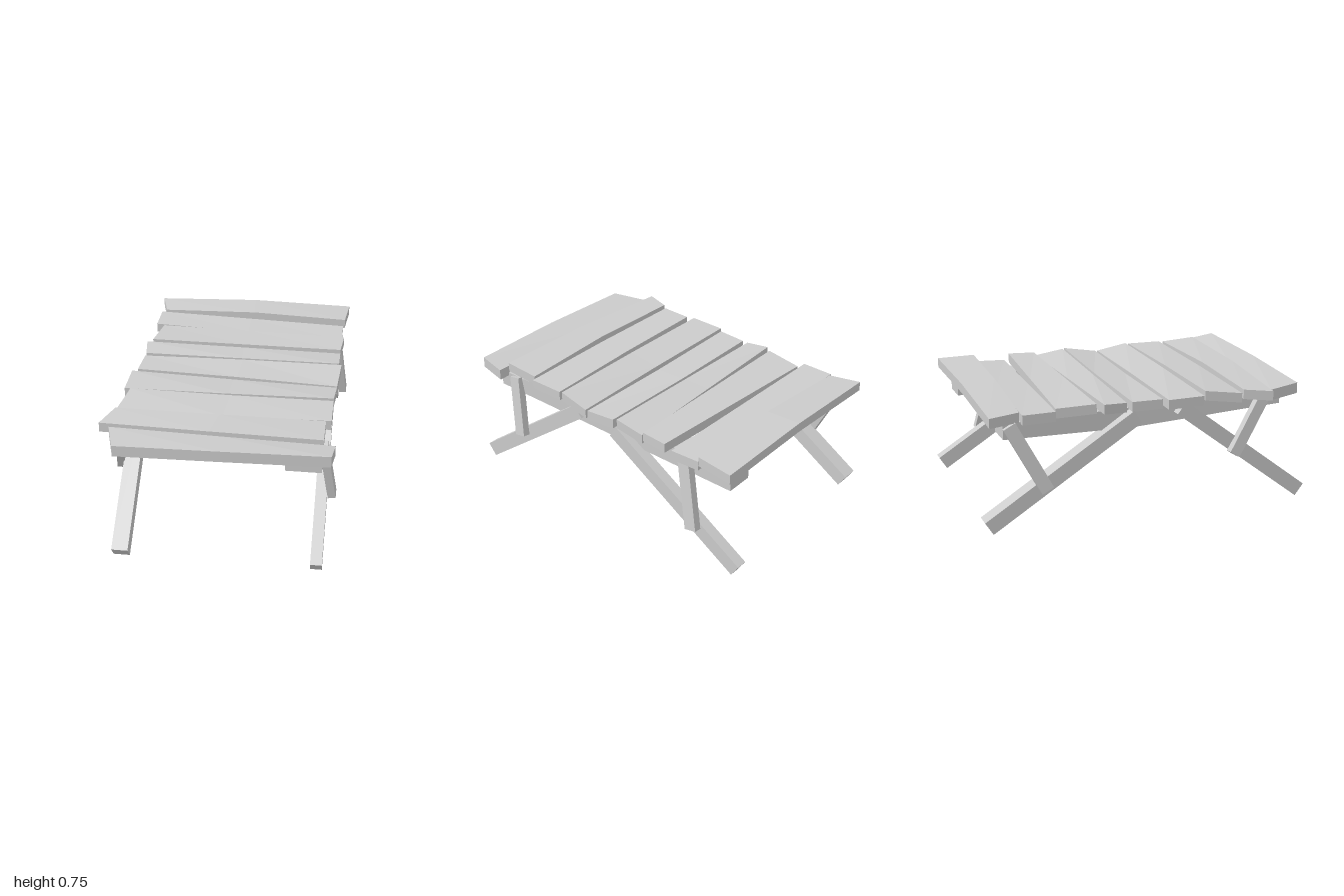
import * as THREE from 'three';

const material = new THREE.MeshStandardMaterial({ color: 0xcccccc, flatShading: true });

function addMesh(group, geometry, name) {
  const mesh = new THREE.Mesh(geometry, material);
  mesh.name = name;
  group.add(mesh);
  return mesh;
}

// Solid through four-cornered sections; corners run anticlockwise seen from the far end
function loft(rings) {
  const pos = [];
  const quad = (a, b, c, d) => pos.push(...a, ...b, ...c, ...a, ...c, ...d);
  for (let s = 0; s < rings.length - 1; s++) {
    for (let i = 0; i < 4; i++) {
      const j = (i + 1) % 4;
      quad(rings[s][i], rings[s][j], rings[s + 1][j], rings[s + 1][i]);
    }
  }
  const [f, l] = [rings[0], rings[rings.length - 1]];
  quad(f[3], f[2], f[1], f[0]);
  quad(l[0], l[1], l[2], l[3]);
  const geometry = new THREE.BufferGeometry();
  geometry.setAttribute('position', new THREE.Float32BufferAttribute(pos, 3));
  geometry.computeVertexNormals();
  return geometry;
}

// Crooked plank. Each end: back x, z, top, then front x, z, top.
// The middle section is the mean of the ends, shifted by bow (z) and rise (y).
function plank(group, name, left, right, bow = 0, rise = 0, thick = 0.057) {
  const shift = [0, bow, rise, 0, bow, rise];
  const middle = left.map((v, i) => (v + right[i]) / 2 + shift[i]);
  const ring = ([xb, zb, yb, xf, zf, yf]) =>
    [[xb, yb, zb], [xf, yf, zf], [xf, yf - thick, zf], [xb, yb - thick, zb]];
  addMesh(group, loft([left, middle, right].map(ring)), name);
}

// Rail section across x at one z
const railRing = (x0, x1, z, bottom, top) =>
  [[x1, top, z], [x0, top, z], [x0, bottom, z], [x1, bottom, z]];

// Straight square-cut bar between two points, kept upright across x
function bar(group, name, from, to, thickX, depth) {
  const a = new THREE.Vector3(...from), b = new THREE.Vector3(...to);
  const dir = b.clone().sub(a);
  const mesh = addMesh(group, new THREE.BoxGeometry(thickX, depth, dir.length()), name);
  dir.normalize();
  const side = new THREE.Vector3(1, 0, 0).addScaledVector(dir, -dir.x).normalize();
  const up = dir.clone().cross(side);
  mesh.quaternion.setFromRotationMatrix(new THREE.Matrix4().makeBasis(side, up, dir));
  mesh.position.copy(a).add(b).multiplyScalar(0.5);
}

export function createModel() {
  const group = new THREE.Group();
  group.name = 'slattedTable';

  // Uneven planks, back to front
  plank(group, 'plank1', [-0.6, -0.96, 0.73, -0.55, -0.78, 0.73], [0.65, -0.95, 0.745, 0.63, -0.725, 0.75], 0, 0.017);
  plank(group, 'plank2', [-0.58, -0.77, 0.72, -0.58, -0.58, 0.72], [0.62, -0.715, 0.71, 0.62, -0.53, 0.7]);
  plank(group, 'plank3', [-0.53, -0.565, 0.72, -0.56, -0.335, 0.73], [0.635, -0.495, 0.735, 0.62, -0.33, 0.73]);
  plank(group, 'plank4', [-0.59, -0.3, 0.73, -0.57, -0.16, 0.72], [0.62, -0.32, 0.71, 0.62, -0.135, 0.735]);
  plank(group, 'plank5', [-0.57, -0.125, 0.72, -0.58, 0.055, 0.72], [0.635, -0.12, 0.735, 0.62, 0.09, 0.7], -0.008);
  plank(group, 'plank6', [-0.61, 0.08, 0.72, -0.61, 0.3, 0.72], [0.62, 0.105, 0.7, 0.61, 0.3, 0.735], 0.005);
  plank(group, 'plank7', [-0.57, 0.325, 0.735, -0.61, 0.54, 0.71], [0.61, 0.32, 0.73, 0.61, 0.54, 0.725], 0.008);
  plank(group, 'plank8', [-0.61, 0.55, 0.73, -0.67, 0.71, 0.72], [0.58, 0.555, 0.73, 0.58, 0.775, 0.74], 0.015, 0.008);
  plank(group, 'plank9', [-0.61, 0.73, 0.71, -0.55, 0.935, 0.715], [0.645, 0.785, 0.715, 0.63, 0.94, 0.74], 0.01, 0.005, 0.065);

  // Long rails under the planks, slightly narrower in the middle
  addMesh(group, loft([
    railRing(-0.54, -0.38, -0.87, 0.58, 0.67),
    railRing(-0.51, -0.38, -0.1, 0.55, 0.67),
    railRing(-0.53, -0.36, 0.83, 0.595, 0.67),
  ]), 'rightRail');
  addMesh(group, loft([
    railRing(0.4, 0.56, -0.89, 0.565, 0.68),
    railRing(0.44, 0.56, -0.1, 0.56, 0.67),
    railRing(0.38, 0.58, 0.84, 0.572, 0.67),
  ]), 'leftRail');

  // Splayed legs
  for (const [side, x, thick] of [['left', 0.575, 0.065], ['right', -0.525, 0.093]]) {
    bar(group, `${side}FrontLeg`, [x, 0.65, 0.18], [x, 0.037, 0.972], thick, 0.087);
    bar(group, `${side}BackLeg`, [x, 0.63, -0.09], [x, 0.083, -0.973], thick, 0.088);
  }

  // Braces from the rails down to the outside of the legs
  bar(group, 'leftFrontBrace', [0.58, 0.67, 0.71], [0.635, 0.31, 0.64], 0.045, 0.072);
  bar(group, 'leftBackBrace', [0.59, 0.66, -0.605], [0.64, 0.26, -0.7], 0.045, 0.076);
  bar(group, 'rightFrontBrace', [-0.55, 0.66, 0.71], [-0.6, 0.34, 0.5], 0.045, 0.07);
  bar(group, 'rightBackBrace', [-0.55, 0.66, -0.84], [-0.592, 0.275, -0.64], 0.042, 0.076);

  return group;
}
